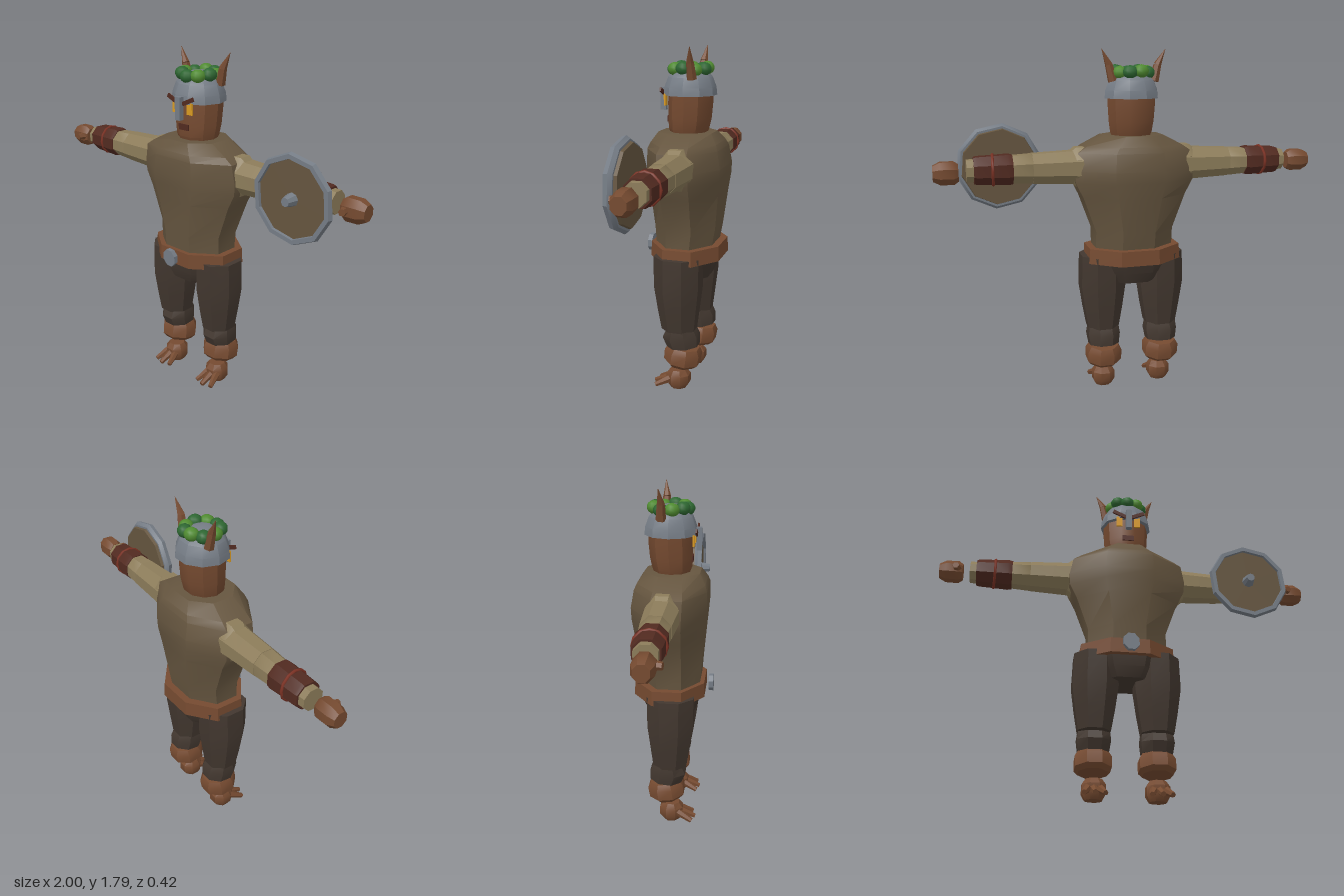
import * as THREE from 'three';
import { toCreasedNormals } from 'three/addons/utils/BufferGeometryUtils.js';

const mat = (name, color) => {
  const m = new THREE.MeshStandardMaterial({ color });
  m.name = name;
  return m;
};

// Faceted loft along y; each section is [y, halfWidth, zFront, zBack, centreX]
function loft(sections, n = 8) {
  const k = 1 / Math.cos(Math.PI / n);
  const rings = sections.map(([y, rx, zf, zb, cx = 0]) =>
    Array.from({ length: n }, (_, i) => {
      const a = ((i + 0.5) / n) * Math.PI * 2;
      return [cx + rx * k * Math.sin(a), y, (zf + zb) / 2 + ((zf - zb) / 2) * k * Math.cos(a)];
    }));
  const p = [];
  const tri = (a, b, c) => p.push(...a, ...b, ...c);
  for (let r = 0; r < rings.length - 1; r++) {
    for (let i = 0; i < n; i++) {
      const j = (i + 1) % n, lo = rings[r], hi = rings[r + 1];
      tri(lo[i], lo[j], hi[j]);
      tri(lo[i], hi[j], hi[i]);
    }
  }
  const bottom = rings[0], top = rings[rings.length - 1];
  for (let i = 1; i < n - 1; i++) {
    tri(top[0], top[i], top[i + 1]);
    tri(bottom[0], bottom[i + 1], bottom[i]);
  }
  const g = new THREE.BufferGeometry();
  g.setAttribute('position', new THREE.Float32BufferAttribute(p, 3));
  return toCreasedNormals(g, 0.6);
}

export function createModel() {
  const tunic = mat('tunic brown', 0x65553f);
  const sleeve = mat('sleeve beige', 0x8c7c5a);
  const skin = mat('skin and leather brown', 0x754a30);
  const trousers = mat('trouser dark brown', 0x42372f);
  const bracerMat = mat('bracer dark red brown', 0x512a20);
  const cord = mat('cord red', 0x7c3224);
  const metal = mat('metal grey', 0x757c85);
  const leafDark = mat('leaf dark green', 0x2d6631);
  const leafLight = mat('leaf light green', 0x4f8a30);
  const eyeMat = mat('eye amber', 0xd99a22);

  const model = new THREE.Group();
  const add = (name, geo, material, parent = model, x = 0, y = 0, z = 0) => {
    const m = new THREE.Mesh(geo, material);
    m.name = name;
    m.position.set(x, y, z);
    parent.add(m);
    return m;
  };
  const box = (w, h, d) => new THREE.BoxGeometry(w, h, d);
  const flat = (g) => toCreasedNormals(g, 0.6);
  // Tapered rod between two points
  const rod = (name, a, b, ra, rb, material, parent) => {
    const A = new THREE.Vector3(...a), B = new THREE.Vector3(...b);
    const m = add(name, flat(new THREE.CylinderGeometry(rb, ra, A.distanceTo(B), 6)), material, parent);
    m.position.copy(A).lerp(B, 0.5);
    m.quaternion.setFromUnitVectors(new THREE.Vector3(0, 1, 0), B.sub(A).normalize());
    return m;
  };

  // Body
  add('torso', loft([
    [0.74, 0.205, 0.14, -0.15], [0.88, 0.205, 0.15, -0.175], [1.06, 0.27, 0.165, -0.195],
    [1.14, 0.31, 0.172, -0.205], [1.20, 0.312, 0.177, -0.208], [1.29, 0.295, 0.175, -0.192],
    [1.32, 0.25, 0.165, -0.18], [1.37, 0.155, 0.135, -0.145]]), tunic);
  add('belt', loft([[0.715, 0.245, 0.168, -0.2], [0.793, 0.24, 0.166, -0.197]]), skin);
  add('hips', loft([[0.605, 0.14, 0.11, -0.13], [0.66, 0.19, 0.13, -0.15], [0.74, 0.22, 0.14, -0.17]]), trousers);
  const buckle = add('buckle', flat(new THREE.CylinderGeometry(0.05, 0.05, 0.024, 8)), metal, model, 0, 0.76, 0.198);
  buckle.rotation.set(Math.PI / 2, Math.PI / 8, 0);
  buckle.scale.set(0.85, 1, 0.95);

  // Head and face
  const head = new THREE.Group();
  head.name = 'head';
  model.add(head);
  add('skull', loft([
    [1.34, 0.09, 0.07, -0.09], [1.385, 0.106, 0.088, -0.108], [1.44, 0.114, 0.09, -0.12],
    [1.52, 0.119, 0.09, -0.127], [1.58, 0.119, 0.085, -0.127]], 10), skin, head);
  add('helmet', loft([
    [1.555, 0.134, 0.112, -0.146], [1.595, 0.13, 0.108, -0.142], [1.645, 0.112, 0.09, -0.124],
    [1.685, 0.075, 0.055, -0.09], [1.7, 0.035, 0.018, -0.052]], 10), metal, head);
  add('noseGuard', box(0.032, 0.115, 0.028), metal, head, 0, 1.533, 0.125);
  add('mouth', box(0.064, 0.03, 0.009), bracerMat, head, 0, 1.434, 0.092);
  for (const s of [1, -1]) {
    add('eye', box(0.034, 0.058, 0.009), eyeMat, head, s * 0.049, 1.532, 0.1);
    const brow = add('brow', box(0.078, 0.02, 0.009), bracerMat, head, s * 0.05, 1.571, 0.115);
    brow.rotation.z = s * 0.42;
    rod('horn', [s * 0.106, 1.64, -0.055], [s * 0.126, 1.72, -0.052], 0.026, 0.02, skin, head);
    rod('hornTip', [s * 0.126, 1.72, -0.052], [s * 0.164, 1.797, -0.06], 0.02, 0.001, skin, head);
  }

  // Leaf wreath
  const wreath = new THREE.Group();
  wreath.name = 'wreath';
  head.add(wreath);
  for (let i = 0; i < 9; i++) {
    const a = (i / 9) * Math.PI * 2;
    const leaf = add('leafCluster', new THREE.SphereGeometry(0.037, 10, 7), i % 2 ? leafLight : leafDark,
      wreath, Math.sin(a) * 0.083, 1.682 + (i % 3) * 0.004, Math.cos(a) * 0.085 - 0.018);
    leaf.rotation.y = a;
    leaf.scale.set(1.05, 0.9, 1);
  }

  for (const s of [1, -1]) {
    // Arm: local y runs outwards along x
    const arm = new THREE.Group();
    arm.name = s > 0 ? 'leftArm' : 'rightArm';
    arm.position.set(0, 1.216, -0.028);
    arm.rotation.z = -s * Math.PI / 2;
    model.add(arm);
    const tube = (name, list, material) =>
      add(name, loft(list.map(([d, r, rz = r]) => [d, r, rz, -rz])), material, arm);
    tube('shoulder', [[0.22, 0.1, 0.08], [0.3, 0.1, 0.08], [0.325, 0.08, 0.07]], sleeve);
    tube('upperArm', [[0.27, 0.085], [0.4, 0.079], [0.52, 0.074]], sleeve);
    tube('forearm', [[0.5, 0.06], [0.522, 0.073], [0.62, 0.067], [0.8, 0.055], [0.84, 0.053]], sleeve);
    tube('bracer', [[0.617, 0.071], [0.64, 0.075], [0.71, 0.071], [0.79, 0.068], [0.806, 0.064]], bracerMat);
    const ring = add('bracerCord', new THREE.TorusGeometry(0.075, 0.008, 6, 12), cord, arm, 0, 0.712, 0);
    ring.rotation.x = Math.PI / 2 + 0.08;
    // Hand and thumb
    const hand = tube('hand', [[0.878, 0.042, 0.036], [0.9, 0.056, 0.049], [0.965, 0.055, 0.049], [1, 0.038, 0.036]], skin);
    hand.position.set(s * 0.009, 0, 0.008);
    rod('thumb', [s * 0.008, 0.902, 0.03], [s * 0.008, 0.912, 0.082], 0.023, 0.018, skin, arm);

    // Leg
    const leg = new THREE.Group();
    leg.name = s > 0 ? 'leftLeg' : 'rightLeg';
    leg.position.x = s * 0.16;
    model.add(leg);
    add('thigh', loft([
      [0.345, 0.082, 0.083, -0.093], [0.45, 0.1, 0.1, -0.105],
      [0.58, 0.118, 0.118, -0.12], [0.745, 0.112, 0.12, -0.122]]), trousers, leg);
    const shin = add('shin', loft([
      [-0.05, 0.077, 0.075, -0.09], [0.005, 0.085, 0.092, -0.095], [0.045, 0.08, 0.07, -0.08]]),
    trousers, leg, 0, 0.3, -0.015);
    shin.rotation.x = 0.1;
    const cuff = add('furCuff', loft([
      [-0.052, 0.072, 0.07, -0.07], [-0.03, 0.09, 0.092, -0.092], [0.025, 0.091, 0.094, -0.094],
      [0.055, 0.074, 0.078, -0.078]]), skin, leg, 0, 0.193, -0.025);
    cuff.rotation.x = -0.14 * -1;
    cuff.rotation.x *= -1;
    add('foot', loft([
      [0.005, 0.042, 0.042, -0.04], [0.035, 0.058, 0.062, -0.06], [0.08, 0.058, 0.062, -0.06],
      [0.108, 0.04, 0.042, -0.04]]), skin, leg, -s * 0.003);
    for (const t of [-1, 0, 1]) {
      rod('toe', [t * 0.025, 0.062, 0.03], [t * 0.05, 0.021, t ? 0.115 : 0.13], 0.023, 0.013, skin, leg);
    }
  }

  // Round shield in front of the left forearm
  const shield = new THREE.Group();
  shield.name = 'shield';
  shield.position.set(0.67, 1.217, 0);
  shield.rotation.z = 0.1;
  model.add(shield);
  const board = add('shieldBoard', flat(new THREE.CylinderGeometry(0.2, 0.19, 0.04, 10)), tunic, shield, 0, 0, 0.065);
  board.rotation.x = Math.PI / 2;
  const rimProfile = [[0.185, 0.06], [0.205, 0.06], [0.219, 0.078], [0.212, 0.1], [0.19, 0.1], [0.185, 0.06]]
    .map(([r, z]) => new THREE.Vector2(r, z));
  const rim = add('shieldRim', flat(new THREE.LatheGeometry(rimProfile, 10)), metal, shield);
  rim.rotation.x = Math.PI / 2;
  const boss = add('shieldBoss', flat(new THREE.CylinderGeometry(0.022, 0.034, 0.055, 8)), metal, shield, 0, 0, 0.111);
  boss.rotation.x = Math.PI / 2;

  return model;
}
